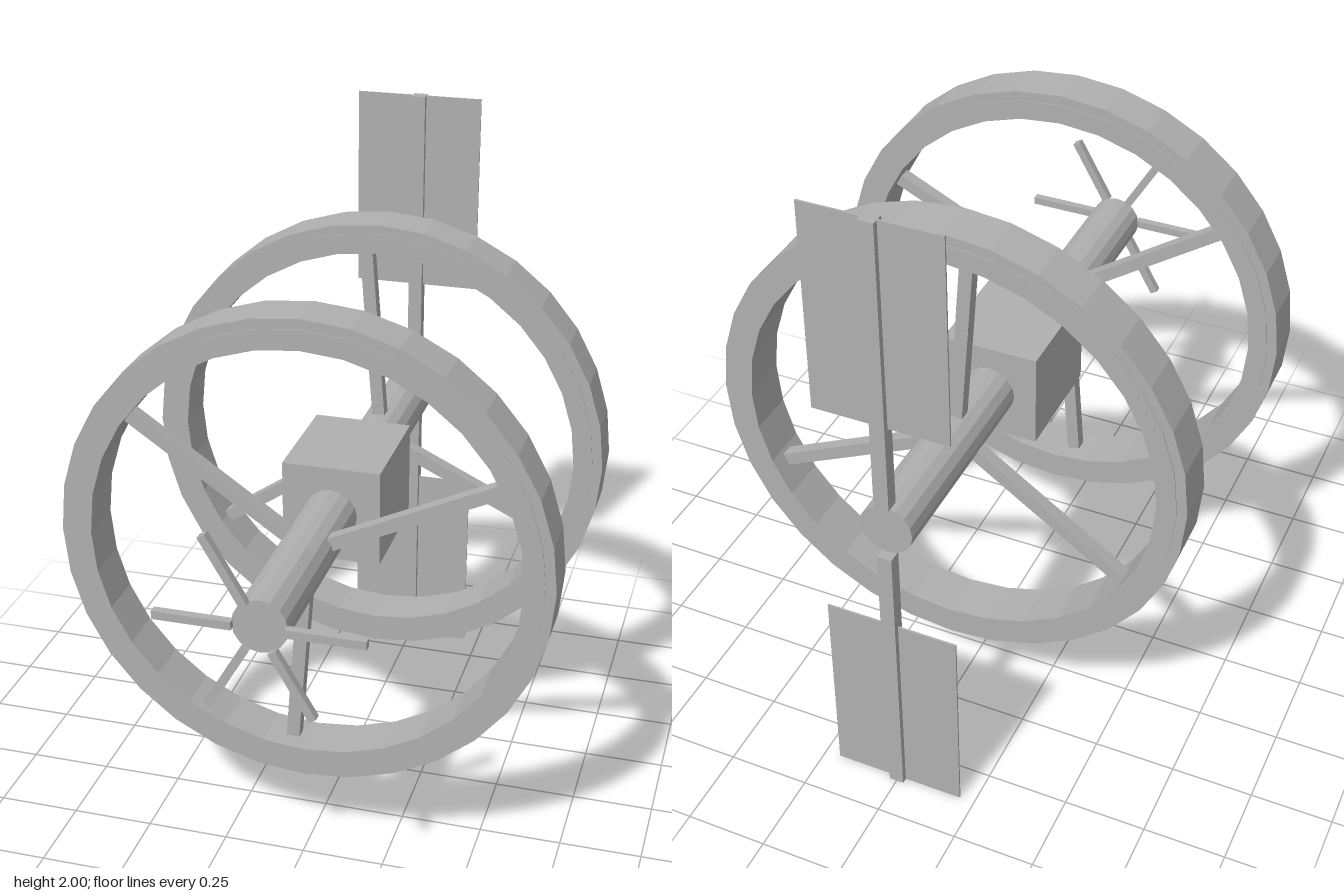
import * as THREE from 'three';

export function createModel() {
  const model = new THREE.Group();
  model.name = 'spaceStation';
  const hull = new THREE.MeshStandardMaterial({ color: 0xb0b0b0 });
  hull.name = 'hullGrey';
  hull.flatShading = true;

  const add = (name, geometry, parent = model) => {
    const mesh = new THREE.Mesh(geometry, hull);
    mesh.name = name;
    parent.add(mesh);
    return mesh;
  };

  // Everything is arranged around the long axis at y = 1
  const body = new THREE.Group();
  body.name = 'body';
  body.position.y = 1;
  model.add(body);

  // Bars radiating from the axis, from radius r0 to r1
  const radialBars = (name, count, startDeg, r0, r1, size, z) => {
    for (let i = 0; i < count; i++) {
      const a = THREE.MathUtils.degToRad(startDeg + (i * 360) / count);
      const r = (r0 + r1) / 2;
      const bar = add(name, new THREE.BoxGeometry(r1 - r0, size, size), body);
      bar.position.set(Math.cos(a) * r, Math.sin(a) * r, z);
      bar.rotation.z = a;
    }
  };

  // Central shaft and hub block
  add('shaft', new THREE.CylinderGeometry(0.08, 0.08, 1.72, 16).rotateX(Math.PI / 2), body);
  add('hubBlock', new THREE.BoxGeometry(0.3, 0.3, 0.36), body);

  // Habitat rings: a band with a slightly narrower outer tread
  const profile = [
    [0.64, -0.074], [0.7, -0.074], [0.7, -0.071], [0.73, -0.071],
    [0.73, 0.071], [0.7, 0.071], [0.7, 0.074], [0.64, 0.074], [0.64, -0.074],
  ].map(([r, h]) => new THREE.Vector2(r, h));
  for (const side of [1, -1]) {
    const z = side * 0.408;
    const ring = add(side > 0 ? 'frontRing' : 'backRing',
      new THREE.LatheGeometry(profile, 32).rotateX(Math.PI / 2), body);
    ring.position.z = z;
    // Three spokes each, mirrored between the rings
    radialBars('ringSpoke', 3, side * 25.5, 0.06, 0.65, 0.04, z);
  }

  // Small antenna arms at the front end
  radialBars('antennaArm', 6, 0, 0.075, 0.3, 0.025, 0.8675);

  // Upper and lower solar panels on masts at the back end
  for (const side of [1, -1]) {
    const mast = add('panelMast', new THREE.BoxGeometry(0.045, 0.91, 0.042), body);
    mast.position.set(0, side * 0.545, -0.859);
    const panel = add('solarPanel', new THREE.BoxGeometry(0.405, 0.64, 0.006), body);
    panel.position.set(0, side * 0.68, -0.859);
  }

  return model;
}
